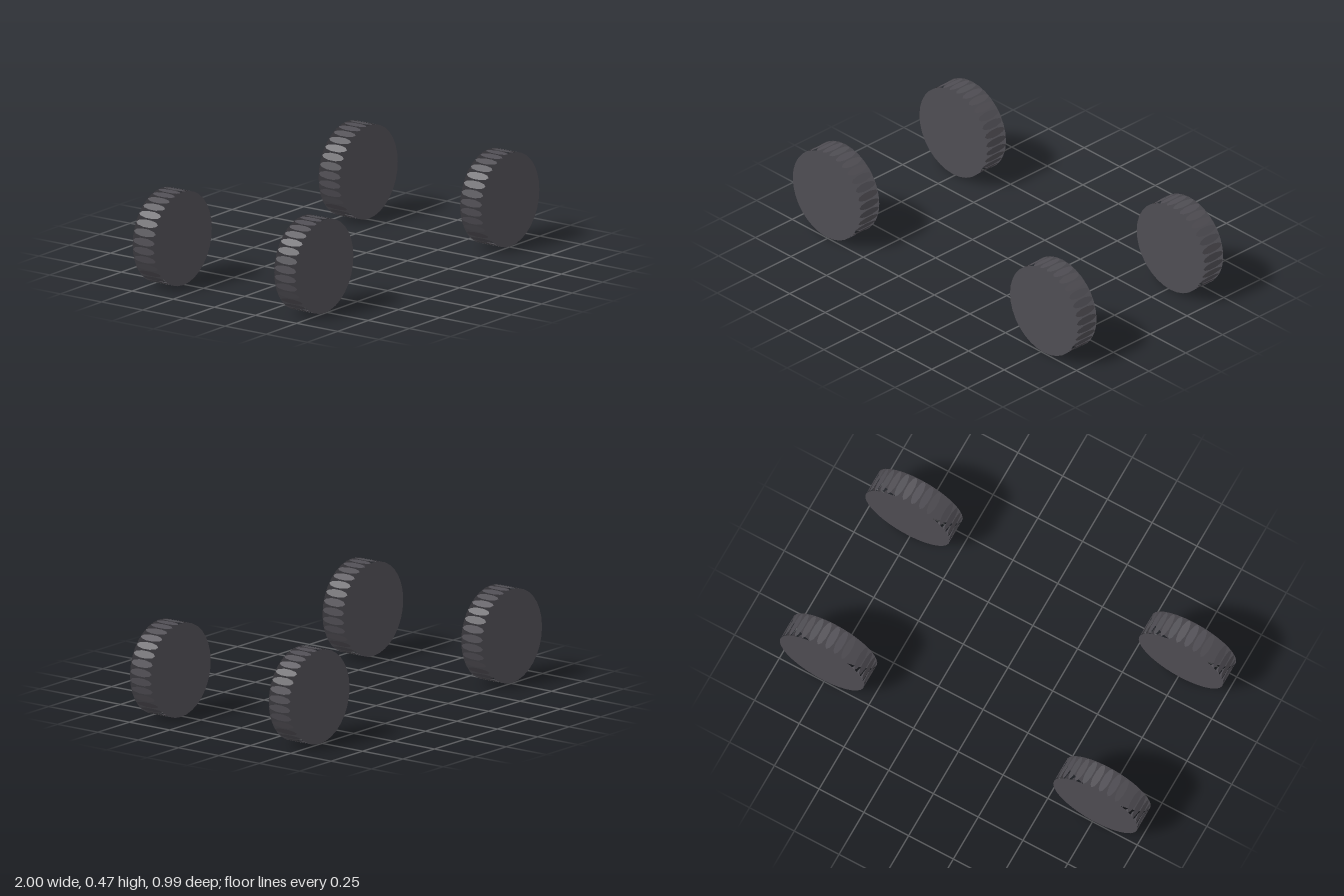
import * as THREE from 'three';
import { mergeGeometries } from 'three/addons/utils/BufferGeometryUtils.js';

const RADIUS = 0.236, HALF_WIDTH = 0.066, SIDES = 32;

// Ring of separate flat, pointed tread plates, one per side of the wheel
function treadGeometry() {
  const apothem = RADIUS * Math.cos(Math.PI / SIDES);
  const plates = [];
  for (let i = 0; i < SIDES; i++) {
    plates.push(new THREE.CircleGeometry(1, 10)
      .scale(HALF_WIDTH, 0.0198, 1)
      .rotateY(Math.PI / 2)
      .translate(apothem, 0, 0)
      .rotateZ((i + 0.5) * 2 * Math.PI / SIDES));
  }
  return mergeGeometries(plates);
}

export function createModel() {
  const model = new THREE.Group();
  model.name = 'wheelSet';
  const rubber = new THREE.MeshStandardMaterial({ color: 0x4f4d53, side: THREE.DoubleSide });
  const disc = new THREE.CircleGeometry(RADIUS, SIDES);
  const tread = treadGeometry();

  for (const [end, z] of [['front', 0.43], ['back', -0.43]]) {
    for (const [side, x] of [['Left', 0.764], ['Right', -0.764]]) {
      const wheel = new THREE.Group();
      wheel.name = `${end}${side}Wheel`;
      wheel.position.set(x, RADIUS, z);

      const treadRing = new THREE.Mesh(tread, rubber);
      treadRing.name = 'tread';
      wheel.add(treadRing);

      // Flat discs closing both sides
      for (const s of [1, -1]) {
        const wall = new THREE.Mesh(disc, rubber);
        wall.name = s > 0 ? 'frontDisc' : 'backDisc';
        wall.position.z = s * HALF_WIDTH;
        if (s < 0) wall.rotation.y = Math.PI;
        wheel.add(wall);
      }
      model.add(wheel);
    }
  }
  return model;
}
